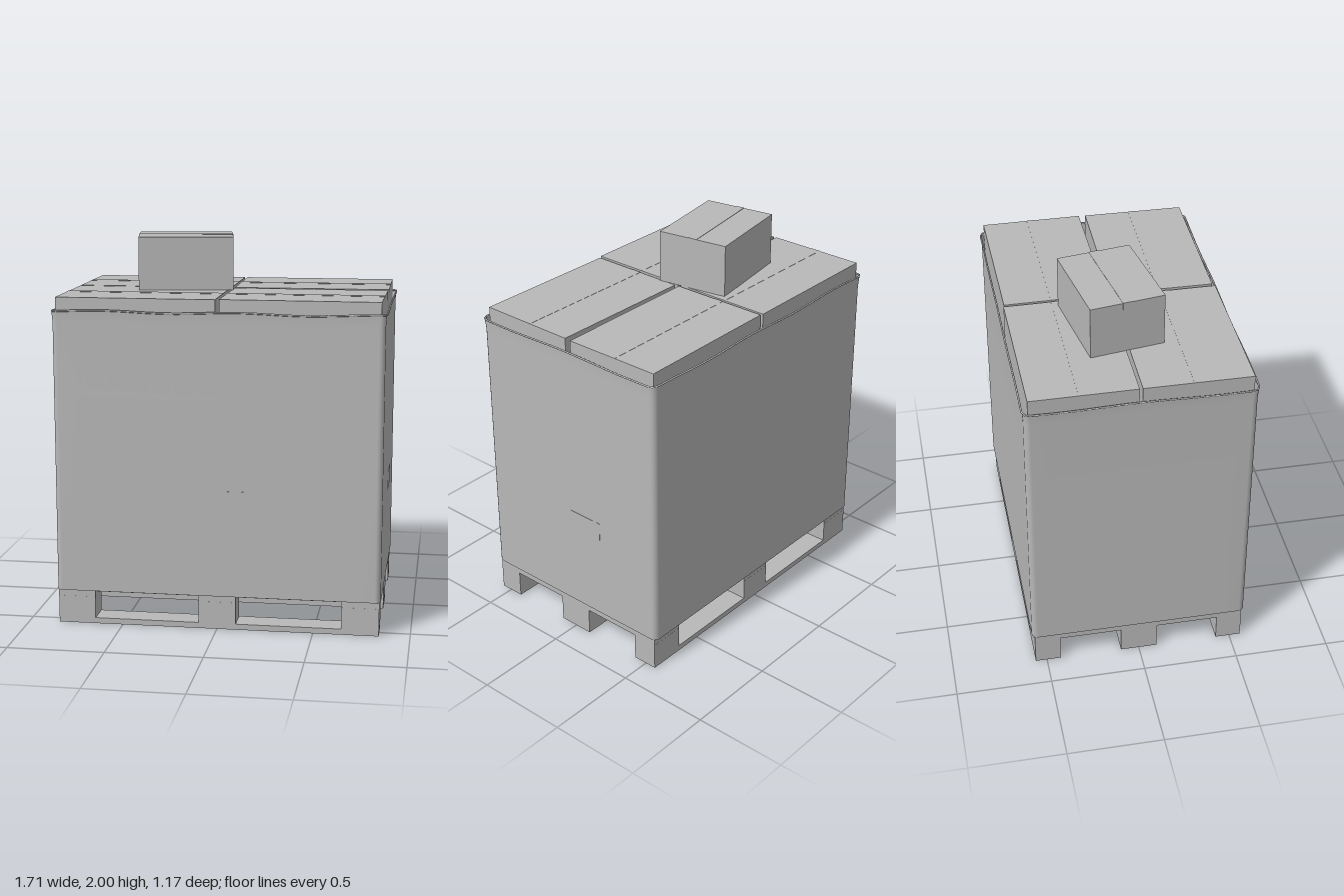
import * as THREE from 'three';

const grey = new THREE.MeshStandardMaterial({ color: 0xb8b8b8, side: THREE.DoubleSide });
grey.name = 'plain grey';

function addBox(parent, name, size, pos, turn = 0) {
  const mesh = new THREE.Mesh(new THREE.BoxGeometry(...size), grey);
  mesh.name = name;
  mesh.position.set(...pos);
  mesh.rotation.y = turn;
  parent.add(mesh);
  return mesh;
}

// Points around a rectangle with rounded corners, running counter-clockwise seen from above
function outline(hx, hz, r) {
  const pts = [];
  const corners = [[1, 1], [1, -1], [-1, -1], [-1, 1]];
  corners.forEach(([sx, sz], i) => {
    const arc = [];
    for (let k = 0; k <= 4; k++) {
      const a = Math.PI / 2 - (i + k / 4) * Math.PI / 2;
      arc.push([sx * (hx - r) + r * Math.cos(a), sz * (hz - r) + r * Math.sin(a)]);
    }
    pts.push(...arc);
    // straight wall to the next corner, divided so its rim can wave
    const [nx, nz] = corners[(i + 1) % 4];
    const a = -i * Math.PI / 2;
    const end = [nx * (hx - r) + r * Math.cos(a), nz * (hz - r) + r * Math.sin(a)];
    const start = arc[4];
    for (let k = 1; k < 14; k++) {
      const t = k / 14;
      pts.push([start[0] + (end[0] - start[0]) * t, start[1] + (end[1] - start[1]) * t]);
    }
  });
  return pts;
}

const rimHeight = (x, z) => 1.654 + 0.005 * Math.sin(9 * x + 0.6) + 0.004 * Math.cos(8 * z);

function buildPallet() {
  const pallet = new THREE.Group();
  pallet.name = 'pallet';
  const rows = [[0.493, 0.135], [0, 0.195], [-0.493, 0.135]];
  const columns = [-0.743, 0, 0.743];
  for (const [z, w] of rows) {
    addBox(pallet, 'runner', [1.68, 0.03, w], [0, 0.015, z]);
    for (const x of columns) addBox(pallet, 'block', [0.195, 0.115, w], [x, 0.0875, z]);
  }
  for (const x of columns) addBox(pallet, 'crossBoard', [0.195, 0.03, 1.12], [x, 0.16, 0]);
  for (const [z, w] of [...rows, [0.25, 0.135], [-0.25, 0.135]])
    addBox(pallet, 'deckBoard', [1.68, 0.025, w], [0, 0.1875, z]);
  return pallet;
}

function buildCartons() {
  const cartons = new THREE.Group();
  cartons.name = 'cartons';
  // x centre, z centre, width, depth, slight turn
  const columns = [
    [-0.419, -0.284, 0.826, 0.54, 0.005], [0.42, -0.288, 0.822, 0.534, 0.008],
    [-0.419, 0.279, 0.822, 0.55, 0], [0.42, 0.277, 0.816, 0.536, -0.007],
  ];
  const layers = 5, h = (1.72 - 0.2) / layers;
  for (const [x, z, w, d, turn] of columns) {
    for (let i = 0; i < layers; i++)
      addBox(cartons, 'carton', [w, h, d], [x, 0.2 + h * (i + 0.5), z], turn);
    addBox(cartons, 'cartonTape', [w + 0.002, 0.002, 0.05], [x, 1.72, z], turn);
  }
  return cartons;
}

function buildLooseCarton() {
  const group = new THREE.Group();
  group.name = 'looseCarton';
  addBox(group, 'looseCartonBody', [0.5, 0.278, 0.387], [0, 0.139, 0]);
  addBox(group, 'looseCartonTape', [0.502, 0.002, 0.05], [0, 0.279, 0]);
  for (const s of [-1, 1]) addBox(group, 'tapeEnd', [0.003, 0.08, 0.05], [s * 0.25, 0.239, 0]);
  group.position.set(-0.257, 1.72, -0.048);
  group.rotation.y = 0.165;
  return group;
}

function buildSleeve() {
  const sleeve = new THREE.Group();
  sleeve.name = 'sleeve';
  // Open wall lofted from the foot to the wavy rim
  const levels = [0, 0.35, 0.7, 0.96, 1];
  const position = [], index = [];
  const rim = [];
  let n = 0;
  levels.forEach((t, row) => {
    const flare = row === 4 ? 0.004 : 0;
    const pts = outline(0.847 + flare, 0.574 + flare, 0.03);
    n = pts.length;
    for (const [x, z] of pts) {
      const y = 0.18 + (rimHeight(x, z) - 0.18) * t;
      position.push(x, y, z);
      if (row === 4) rim.push(new THREE.Vector3(x, y, z));
    }
  });
  for (let r = 0; r < levels.length - 1; r++)
    for (let i = 0; i < n; i++) {
      const a = r * n + i, b = r * n + (i + 1) % n;
      index.push(a, b, b + n, a, b + n, a + n);
    }
  const geometry = new THREE.BufferGeometry();
  geometry.setAttribute('position', new THREE.Float32BufferAttribute(position, 3));
  geometry.setIndex(index);
  geometry.computeVertexNormals();
  const wall = new THREE.Mesh(geometry, grey);
  wall.name = 'sleeveWall';
  sleeve.add(wall);

  // Rolled hem along the top
  const hem = new THREE.Mesh(
    new THREE.TubeGeometry(new THREE.CatmullRomCurve3(rim, true), 200, 0.005, 6, true), grey);
  hem.name = 'sleeveHem';
  sleeve.add(hem);

  // Labels
  addBox(sleeve, 'sideLabel', [0.003, 0.1, 0.2], [0.847, 0.69, -0.1]);
  addBox(sleeve, 'frontLabel', [0.2, 0.1, 0.003], [0.1, 0.69, 0.574]);
  return sleeve;
}

export function createModel() {
  const model = new THREE.Group();
  model.name = 'loadedPallet';
  model.add(buildPallet(), buildCartons(), buildSleeve(), buildLooseCarton());
  return model;
}
